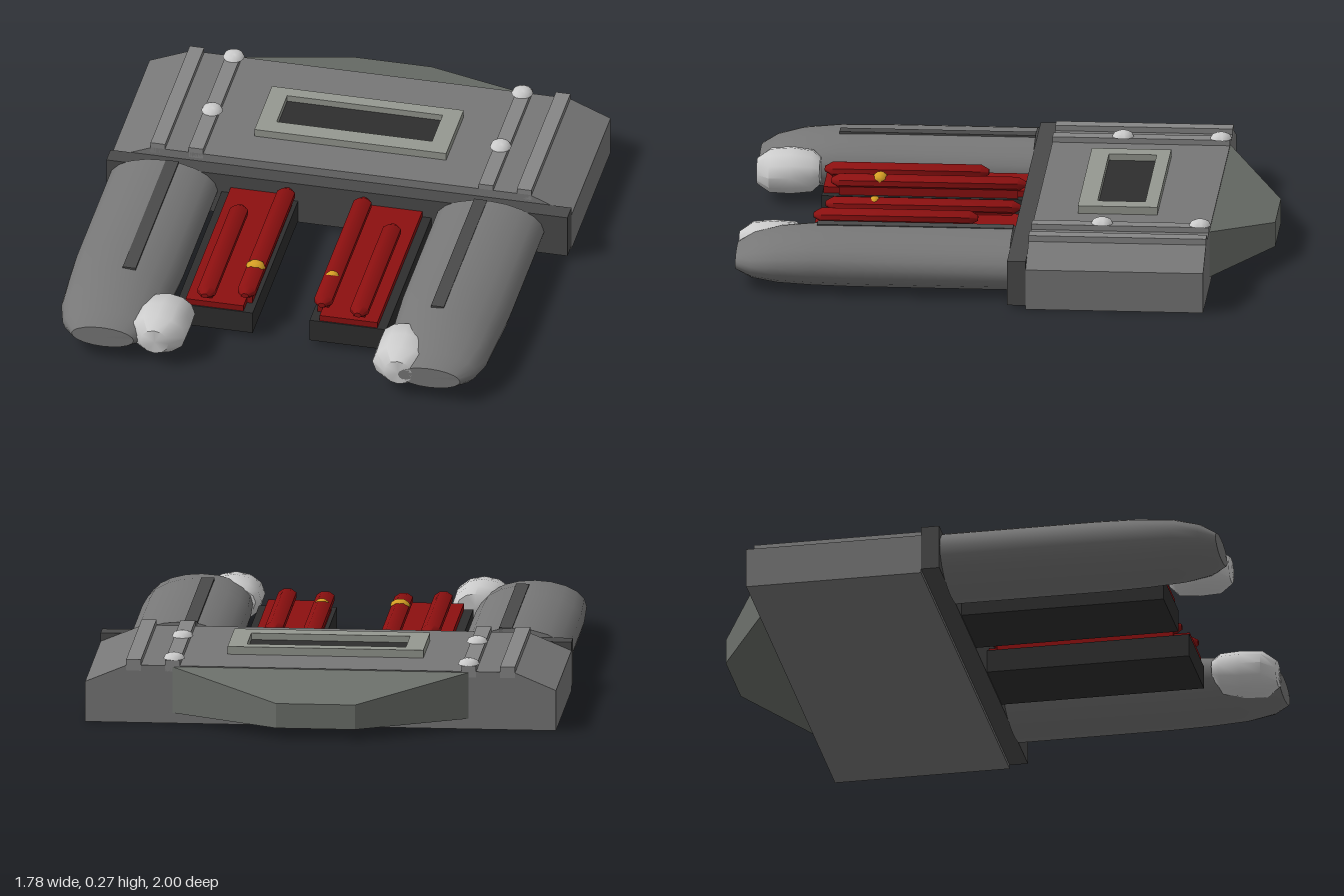
import * as THREE from 'three';
import { toCreasedNormals } from 'three/addons/utils/BufferGeometryUtils.js';

const mat = (color) => new THREE.MeshStandardMaterial({ color });
const M = {
  pale: mat(0xcccccc), body: mat(0x777777), strip: mat(0x868686), frame: mat(0x959890),
  tail: mat(0x6c706b), flange: mat(0x4a4a4a), dark: mat(0x2e2e2e), red: mat(0x8c1010), gold: mat(0xd6a024),
};

export function createModel() {
  const root = new THREE.Group();

  const add = (name, geometry, material, parent = root) => {
    const mesh = new THREE.Mesh(geometry, material);
    mesh.name = name;
    parent.add(mesh);
    return mesh;
  };

  // Box given by its limits on each axis
  const box = (name, material, [x0, x1], [y0, y1], [z0, z1], parent = root) => {
    const g = new THREE.BoxGeometry(x1 - x0, y1 - y0, z1 - z0);
    g.translate((x0 + x1) / 2, (y0 + y1) / 2, (z0 + z1) / 2);
    return add(name, g, material, parent);
  };

  // Closed skin over elliptical sections along z: [z, centre x, radius x, centre y, radius y]
  const loft = (sections, n, crease, turn = 0) => {
    const pos = [], idx = [];
    for (const [z, cx, rx, cy, ry] of sections) {
      for (let j = 0; j < n; j++) {
        const a = (j / n) * Math.PI * 2 + turn;
        pos.push(cx + rx * Math.cos(a), cy + ry * Math.sin(a), z);
      }
    }
    const last = sections.length - 1;
    for (const k of [0, last]) pos.push(sections[k][1], sections[k][3], sections[k][0]);
    const c0 = sections.length * n;
    for (let j = 0; j < n; j++) {
      const k = (j + 1) % n;
      for (let i = 0; i < last; i++) {
        const a = i * n + j, b = i * n + k;
        idx.push(a, b, b + n, a, b + n, a + n);
      }
      idx.push(c0, k, j, c0 + 1, last * n + j, last * n + k);
    }
    const g = new THREE.BufferGeometry();
    g.setAttribute('position', new THREE.Float32BufferAttribute(pos, 3));
    g.setIndex(idx);
    return toCreasedNormals(g, crease);
  };

  const polygon = (pts) => new THREE.Shape(pts.map(([x, y]) => new THREE.Vector2(x, y)));

  // Main housing with chamfered shoulders
  const housing = new THREE.ExtrudeGeometry(
    polygon([[-0.89, 0], [0.89, 0], [0.89, 0.155], [0.73, 0.222], [-0.73, 0.222], [-0.89, 0.155]]),
    { depth: 0.67, bevelEnabled: false });
  housing.translate(0, 0, -0.78);
  add('housing', housing, M.body);
  box('frontFlange', M.flange, [-0.89, 0.89], [0.015, 0.188], [-0.11, -0.04]);

  // Tapered tail whose top slopes down to the back
  const tail = new THREE.ExtrudeGeometry(
    polygon([[-0.56, 0.78], [0.56, 0.78], [0.15, 1], [-0.15, 1]]),
    { depth: 1, bevelEnabled: false });
  tail.rotateX(-Math.PI / 2);
  const p = tail.attributes.position;
  for (let i = 0; i < p.count; i++) {
    const top = THREE.MathUtils.mapLinear(p.getZ(i), -0.78, -1, 0.218, 0.135);
    p.setY(i, p.getY(i) > 0.5 ? top : 0.04);
  }
  tail.computeVertexNormals();
  add('tail', tail, M.tail);

  // Raised window frame with a dark floor
  const rim = polygon([[-0.37, 0.27], [0.37, 0.27], [0.37, 0.57], [-0.37, 0.57]]);
  rim.holes.push(polygon([[-0.3, 0.34], [-0.3, 0.52], [0.3, 0.52], [0.3, 0.34]]));
  const frame = new THREE.ExtrudeGeometry(rim, { depth: 0.04, bevelEnabled: false });
  frame.rotateX(-Math.PI / 2).translate(0, 0.212, 0);
  add('windowFrame', frame, M.frame);
  box('window', M.dark, [-0.3, 0.3], [0.2, 0.227], [-0.52, -0.34]);

  // Ridges and bolts on both shoulders
  const boltProfile = [[0, 0.222], [0.025, 0.222], [0.025, 0.242], [0.041, 0.244], [0.034, 0.257], [0.018, 0.264], [0, 0.266]]
    .map(([x, y]) => new THREE.Vector2(x, y));
  const boltGeo = toCreasedNormals(new THREE.LatheGeometry(boltProfile, 14), 0.8);
  for (const s of [-1, 1]) {
    for (const x of [0.56, 0.707]) {
      box('ridge', M.strip, [s * x - 0.028, s * x + 0.028], [0.2, 0.243], [-0.78, -0.11]);
    }
    for (const z of [-0.745, -0.375]) {
      add('bolt', boltGeo, M.pale).position.set(s * 0.557, 0, z);
    }
  }

  // Arms, thumbs and rails; these sit around a line slightly right of centre
  const axis = -0.04;
  for (const s of [-1, 1]) {
    const side = new THREE.Group();
    side.name = s > 0 ? 'leftSide' : 'rightSide';
    root.add(side);
    const X = (a, b) => [axis + s * a, axis + s * b].sort((u, v) => u - v);
    const cx = axis + s * 0.63;

    // Rounded arm narrowing at its front
    const arm = loft([
      [-0.04, cx, 0.21, 0.11, 0.11], [0.55, cx, 0.21, 0.11, 0.11], [0.7, cx, 0.203, 0.11, 0.108],
      [0.84, cx, 0.195, 0.107, 0.097], [0.94, cx, 0.168, 0.102, 0.075], [1, cx, 0.12, 0.098, 0.042],
    ], 20, 0.9);
    add('arm', arm, M.body, side);
    box('armSlot', M.flange, X(0.57, 0.62), [0.15, 0.222], [-0.04, 0.7], side);

    // Blunt thumb at the inner front corner
    const tx = s * 0.47;
    const thumb = loft([
      [0.76, tx - s * 0.02, 0.07, 0.115, 0.05], [0.79, tx - s * 0.01, 0.1, 0.112, 0.078],
      [0.87, tx, 0.112, 0.11, 0.088], [0.95, tx, 0.11, 0.108, 0.082], [1, tx, 0.055, 0.105, 0.05],
    ], 12, 0.9);
    add('thumb', thumb, M.pale, side);

    // Rail bed with its red plate
    box('railBed', M.dark, X(0.11, 0.405), [0.02, 0.11], [-0.04, 0.735], side);
    box('railPlate', M.red, X(0.147, 0.37), [0.11, 0.134], [-0.04, 0.73], side);

    // Two faceted rods with pointed ends on low stems
    for (const [x, z0, z1] of [[0.148, -0.035, 0.7], [0.295, 0.115, 0.735]]) {
      const rx = axis + s * x;
      const rod = loft([
        [z0, rx, 0.014, 0.16, 0.01], [z0 + 0.03, rx, 0.037, 0.16, 0.026],
        [z1 - 0.03, rx, 0.037, 0.16, 0.026], [z1, rx, 0.014, 0.16, 0.01],
      ], 8, 0.9, Math.PI / 8);
      add('rod', rod, M.red, side);
      box('rodStem', M.red, [rx - 0.022, rx + 0.022], [0.11, 0.15], [z0 + 0.03, z1 - 0.03], side);
    }

    // Gold knob on the inner rod
    const knob = add('knob', new THREE.SphereGeometry(1, 8, 6), M.gold, side);
    knob.scale.set(s < 0 ? 0.038 : 0.028, 0.025, s < 0 ? 0.03 : 0.023);
    knob.position.set(axis + s * 0.148, s < 0 ? 0.172 : 0.168, 0.515);
  }
  return root;
}
